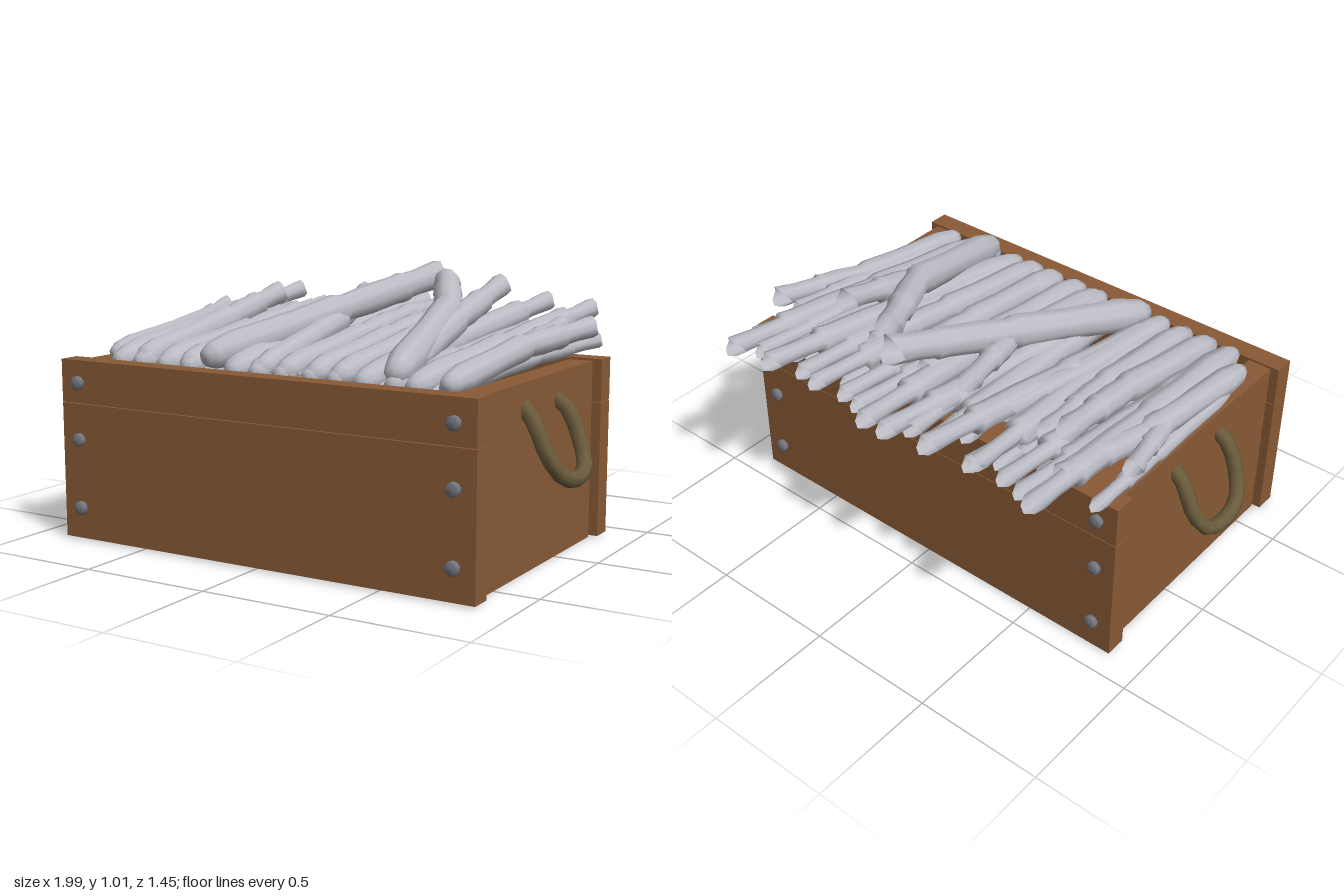
import * as THREE from 'three';

const wood = new THREE.MeshStandardMaterial({ color: 0x895a36 });
wood.name = 'wood';
const rope = new THREE.MeshStandardMaterial({ color: 0x6a5b3c });
rope.name = 'rope';
const metal = new THREE.MeshStandardMaterial({ color: 0x74767f });
metal.name = 'metal';
const cane = new THREE.MeshStandardMaterial({ color: 0xbcbcc5, side: THREE.DoubleSide });
cane.name = 'cane';

function add(parent, name, geometry, material, x = 0, y = 0, z = 0) {
  const mesh = new THREE.Mesh(geometry, material);
  mesh.name = name;
  mesh.position.set(x, y, z);
  parent.add(mesh);
  return mesh;
}

// Jointed stalk: tapered foot, stepped joints and a split, hollow tip.
// j1 and j2 are the fractions of the length where the joints sit;
// sway pushes the first joint sideways so the stalk kinks there.
function stalk(parent, [bx, by, bz, tx, ty, tz, r, sway = 0], j1, j2, thin) {
  const base = new THREE.Vector3(bx, by, bz);
  const dir = new THREE.Vector3(tx, ty, tz).sub(base);
  const len = dir.length();
  const sides = 9;
  const profile = [
    [0, 0], [0.5, 0.004], [0.78, 0.035], [1, 0.12], [0.9, j1 * 0.65], [1, j1 - 0.015], [0.8, j1 + 0.02],
    [0.9, (j1 + j2) / 2], [0.86, j2 - 0.04], [0.93, j2], [thin, j2 + 0.004], [thin * 0.94, 0.9], [thin * 1.08, 0.99],
  ].map(([a, t]) => new THREE.Vector2(a * r, t * len));
  const geometry = new THREE.LatheGeometry(profile, sides);
  const pos = geometry.attributes.position;
  const splits = [0.016, 0, -0.012, 0.008, 0.016, -0.006, -0.035, -0.01, 0.008];
  const n = profile.length;
  for (let k = 0; k < pos.count; k++) {
    const t = pos.getY(k) / len;
    pos.setX(k, pos.getX(k) + sway * Math.min(t / j1, (1 - t) / (1 - j1)));
    if (k % n === n - 1) pos.setY(k, pos.getY(k) + splits[Math.floor(k / n) % sides]);
  }
  const mesh = add(parent, 'stalk', geometry, cane, bx, by, bz);
  mesh.quaternion.setFromUnitVectors(new THREE.Vector3(0, 1, 0), dir.normalize());
}

export function createModel() {
  const model = new THREE.Group();
  model.name = 'crateOfStalks';

  // Open crate: floor, side walls, and wider planks over the front and back
  const crate = new THREE.Group();
  crate.name = 'crate';
  model.add(crate);
  add(crate, 'floor', new THREE.BoxGeometry(1.48, 0.05, 0.94), wood, 0, 0.033, 0.15);
  for (const x of [-0.783, 0.783]) {
    add(crate, 'sideWall', new THREE.BoxGeometry(0.094, 0.676, 0.94), wood, x, 0.338, 0.15);
  }
  for (const [z, face] of [[0.662, 1], [-0.365, -1]]) {
    add(crate, 'lowerPlank', new THREE.BoxGeometry(1.73, 0.513, 0.083), wood, 0, 0.2635, z);
    add(crate, 'upperPlank', new THREE.BoxGeometry(1.73, 0.161, 0.083), wood, 0, 0.6035, z);
    for (const s of [-1, 1]) {
      add(crate, 'cornerPost', new THREE.BoxGeometry(0.096, 0.58, 0.06), wood, s * 0.688, 0.348, z - face * 0.071);
      // Bolts with a low domed head
      for (const y of [0.125, 0.385, 0.6]) {
        const head = [[0.025, -0.013], [0.026, 0.006], [0.018, 0.012], [0, 0.014]];
        const geometry = new THREE.LatheGeometry(head.map(([a, b]) => new THREE.Vector2(a, b)), 10);
        const bolt = add(crate, 'bolt', geometry, metal, s * 0.785, y, z + face * 0.052);
        bolt.rotation.x = face * Math.PI / 2;
      }
    }
  }

  // Rope handles
  for (const s of [-1, 1]) {
    const points = [
      [0.82, 0.595, 0.275], [0.868, 0.545, 0.286], [0.92, 0.43, 0.282], [0.957, 0.352, 0.232], [0.968, 0.331, 0.135],
      [0.957, 0.352, 0.042], [0.92, 0.43, -0.002], [0.868, 0.545, -0.005], [0.82, 0.585, 0],
    ].map(([x, y, z]) => new THREE.Vector3(s * x, y, z));
    const geometry = new THREE.TubeGeometry(new THREE.CatmullRomCurve3(points), 14, 0.029, 8);
    add(model, s > 0 ? 'leftHandle' : 'rightHandle', geometry, rope);
  }

  const bundle = new THREE.Group();
  bundle.name = 'stalks';
  model.add(bundle);

  // Bottom layer, lying almost flat: foot x, tip x
  const bottom = [
    [-0.67, -0.62], [-0.57, -0.55], [-0.46, -0.4], [-0.35, -0.43], [-0.15, -0.22], [-0.05, -0.14],
    [0.05, 0.12], [0.17, 0.18], [0.27, 0.33], [0.38, 0.39], [0.5, 0.55], [0.58, 0.6],
  ];
  bottom.forEach(([b, t], i) => {
    stalk(bundle, [b, 0.68, 0.62, t, 0.775 + 0.02 * (i % 2), -0.63, 0.058], 0.34, 0.8, 0.55);
    stalk(bundle, [b + 0.04, 0.65, 0.56, t - 0.03, 0.715, -0.42 - 0.04 * (i % 3), 0.048], 0.4, 0.78, 0.6);
  });

  // Middle layer, longer and steeper: foot x, tip x, tip y
  const middle = [
    [-0.67, -0.73, 0.84], [-0.36, -0.28, 0.85], [-0.17, -0.09, 0.82],
    [0.06, 0, 0.82], [0.38, 0.47, 0.85], [0.58, 0.66, 0.83],
  ];
  for (const [b, t, y] of middle) stalk(bundle, [b, 0.685, 0.6, t, y, -0.715, 0.058], 0.45, 0.81, 0.62);

  // Shorter stalks leaning out and up
  const leaning = [
    [-0.76, 0.69, 0.53, -0.7, 0.82, -0.52, 0.052, -0.03], [-0.76, 0.68, 0.5, -0.85, 0.8, -0.32, 0.045, 0.05],
    [-0.78, 0.68, 0.4, -0.81, 0.71, -0.46, 0.035], [0.69, 0.69, 0.59, 0.81, 0.8, -0.34, 0.052, -0.05],
    [0.67, 0.68, 0.55, 0.77, 0.73, -0.51, 0.038, -0.03], [0.68, 0.68, 0.58, 0.69, 0.8, -0.35, 0.045],
    [-0.57, 0.69, 0.6, -0.6, 0.86, -0.35, 0.058, 0.02], [-0.46, 0.69, 0.6, -0.5, 0.79, -0.33, 0.054, 0.02],
    [-0.36, 0.69, 0.61, -0.32, 0.8, -0.35, 0.055, -0.02], [-0.04, 0.69, 0.6, -0.19, 0.88, -0.38, 0.052, 0.06],
    [0.06, 0.69, 0.61, 0.04, 0.81, -0.35, 0.054], [0.18, 0.69, 0.61, 0.16, 0.81, -0.35, 0.054],
    [0.28, 0.69, 0.61, 0.29, 0.82, -0.35, 0.054], [0.5, 0.7, 0.6, 0.44, 0.94, -0.34, 0.055, -0.02],
  ];
  for (const s of leaning) stalk(bundle, s, 0.58, 0.8, 0.75);

  // Two crossing stalks on top
  stalk(bundle, [-0.28, 0.715, 0.6, 0.085, 0.955, -0.49, 0.066], 0.55, 0.83, 0.82);
  stalk(bundle, [0.51, 0.715, 0.61, 0.19, 0.94, -0.37, 0.063, 0.08], 0.59, 0.83, 0.8);

  return model;
}
